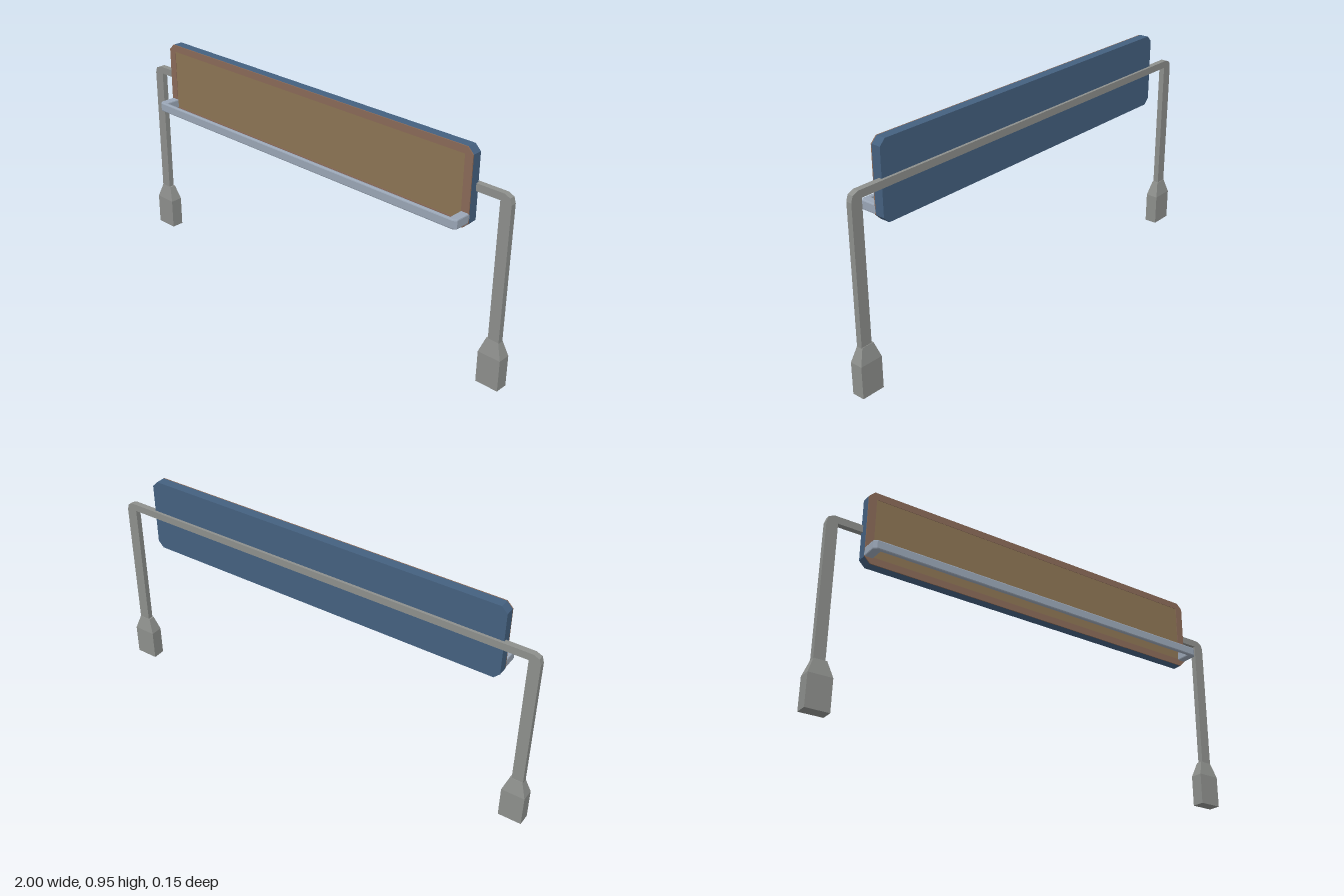
import * as THREE from 'three';

const material = (color) => new THREE.MeshStandardMaterial({ color, flatShading: true });

function polygon(points) {
  return new THREE.Shape(points.map(([x, y]) => new THREE.Vector2(x, y)));
}

// Rectangle with clipped corners, centred on the panel
function clippedRect(w, h, c, cy) {
  return polygon([
    [-w + c, cy - h], [w - c, cy - h], [w, cy - h + c], [w, cy + h - c],
    [w - c, cy + h], [-w + c, cy + h], [-w, cy + h - c], [-w, cy - h + c],
  ]);
}

// Outline of a path on the right half, closed by its mirror on the left
function mirrored(half) {
  return polygon([...half, ...half.map(([x, y]) => [-x, y]).reverse()]);
}

export function createModel() {
  const group = new THREE.Group();
  const grey = material(0xcccccc);
  const steel = material(0x8d8f8c);
  const blue = material(0x44607f);
  const brown = material(0x8a6a58);
  const face = material(0x8c7454);
  const railGrey = material(0x9aa6b6);

  const add = (name, geometry, mat) => {
    const mesh = new THREE.Mesh(geometry, mat);
    mesh.name = name;
    group.add(mesh);
    return mesh;
  };

  // Bent support frame: two posts and a crossbar in one piece
  const frame = mirrored([
    [0.93, 0.775], [0.93, 0.19], [0.978, 0.19], [0.978, 0.77], [0.97, 0.795], [0.945, 0.806],
  ]);
  add('supportFrame', new THREE.ExtrudeGeometry(frame, { depth: 0.025, bevelEnabled: false }), steel)
    .position.z = -0.057;

  // Feet: boxes whose upper part narrows to the post
  for (const side of [-1, 1]) {
    const foot = new THREE.BoxGeometry(0.1, 0.2, 0.055, 1, 2, 1);
    const p = foot.attributes.position;
    for (let i = 0; i < p.count; i++) {
      const y = p.getY(i);
      if (y > 0.05) p.setXYZ(i, p.getX(i) * 0.54, 0.2, p.getZ(i) * 0.5);
      else p.setY(i, y < -0.05 ? 0 : 0.135);
    }
    add(side > 0 ? 'leftFoot' : 'rightFoot', foot, steel).position.set(side * 0.95, 0, -0.0455);
  }

  // Panel: backing board, front border and inset face
  const cy = 0.79;
  add('panelBoard', new THREE.ExtrudeGeometry(clippedRect(0.825, 0.16, 0.025, cy),
    { depth: 0.041, bevelEnabled: false }), blue).position.z = -0.045;
  const border = clippedRect(0.825, 0.16, 0.025, cy);
  border.holes.push(clippedRect(0.79, 0.13, 0.001, cy));
  add('panelBorder', new THREE.ExtrudeGeometry(border, { depth: 0.004, bevelEnabled: false }), brown)
    .position.z = -0.004;
  add('panelFace', new THREE.ShapeGeometry(clippedRect(0.79, 0.13, 0.001, cy)), face)
    .position.z = -0.002;

  // Front rail: U-shaped bar with softened edges (shape y runs forward)
  const rail = mirrored([
    [0.788, 0.06], [0.788, -0.005], [0.825, -0.005], [0.825, 0.066], [0.812, 0.077],
  ]);
  const railGeometry = new THREE.ExtrudeGeometry(rail, {
    depth: 0.03, bevelThickness: 0.005, bevelSize: 0.005, bevelOffset: -0.005, bevelSegments: 2,
  });
  railGeometry.rotateX(Math.PI / 2);
  add('frontRail', railGeometry, railGrey).position.y = 0.69;

  return group;
}
